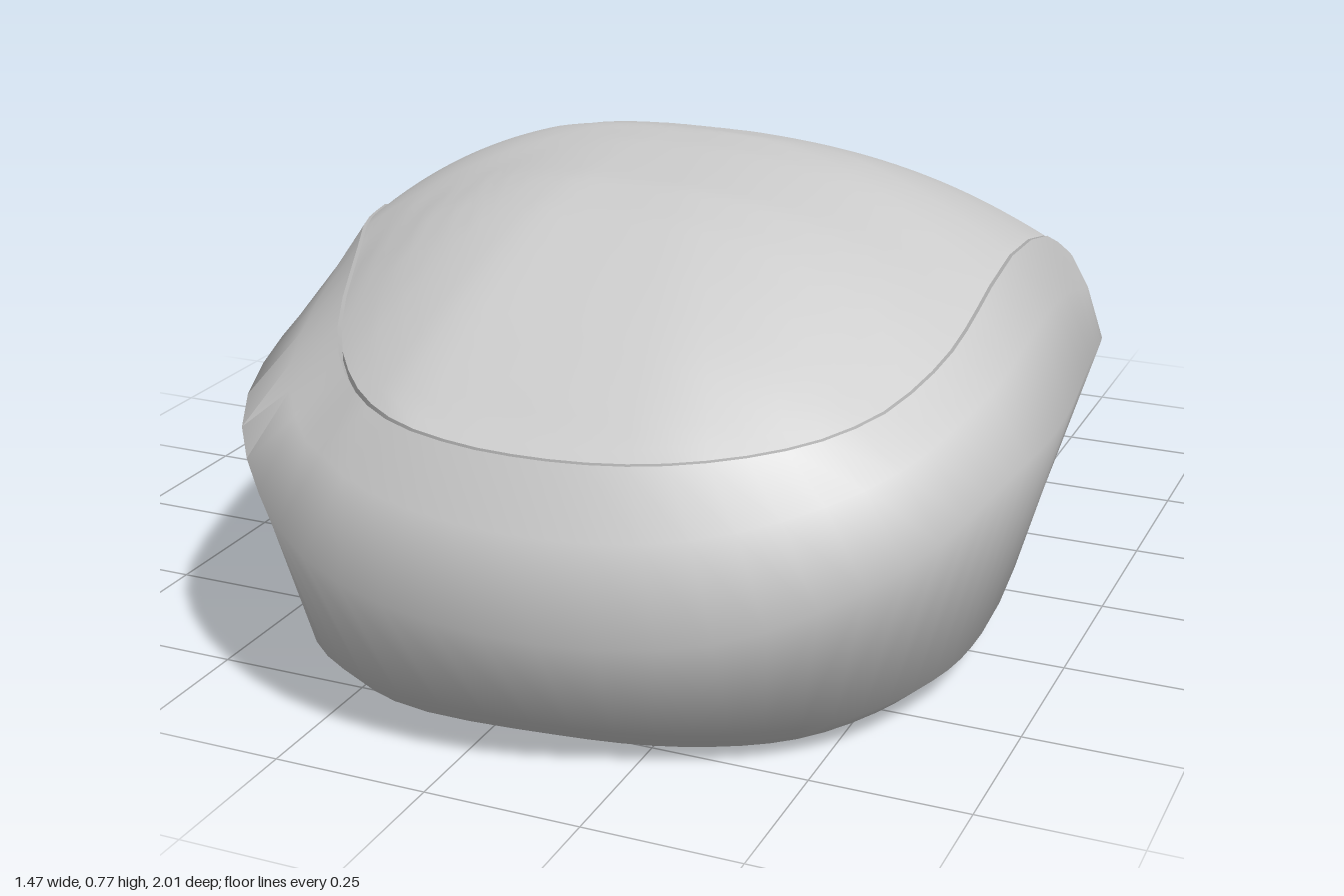
import * as THREE from 'three';
import { toCreasedNormals } from 'three/addons/utils/BufferGeometryUtils.js';

// Stations clockwise from the button slit at the back:
// widest line x, y, z | lid edge x, z | base edge x, z
const STATIONS = [
  [-.17, .2, -.985, -.165, -.965, -.15, -.85],
  [.12, .2, -1, .08, -.97, .1, -.86],
  [.3, .21, -.93, .24, -.92, .27, -.81],
  [.47, .24, -.8, .4, -.78, .41, -.71],
  [.58, .28, -.6, .51, -.6, .48, -.55],
  [.65, .35, -.25, .56, -.3, .52, -.25],
  [.73, .42, .3, .6, .25, .57, .3],
  [.725, .43, .52, .59, .5, .54, .47],
  [.64, .36, .74, .5, .72, .44, .64],
  [.42, .28, .92, .32, .85, .29, .73],
  [.1, .27, 1, .1, .89, .1, .77],
  [-.22, .31, .945, -.12, .85, -.18, .77],
  [-.43, .42, .77, -.28, .71, -.34, .66],
  [-.54, .48, .42, -.42, .41, -.45, .38],
  [-.62, .43, .12, -.52, .15, -.51, .08],
  [-.735, .3, -.36, -.66, -.34, -.57, -.35],
  [-.69, .27, -.57, -.61, -.6, -.52, -.55],
  [-.48, .23, -.84, -.45, -.83, -.4, -.72],
];
// Heights along z: lid edge on either side, and the lid's spine
const RIM_LEFT = [[-1, .29], [-.8, .345], [-.5, .455], [-.2, .58], [.05, .64], [.2, .635], [.4, .59], [.6, .54], [.9, .5]];
const RIM_RIGHT = [[-1, .29], [-.8, .34], [-.34, .455], [-.1, .525], [.15, .605], [.33, .63], [.55, .585], [.8, .52], [.9, .5]];
const SPINE = [[-.985, .29], [-.85, .39], [-.7, .48], [-.5, .58], [-.3, .66], [0, .768], [.1, .775], [.4, .755], [.6, .68], [.75, .605], [.9, .5]];
const COLS = 72;
const CX = 0, CZ = -.03; // inner end of the slit
const SLIT_TURN = .175;

// Piecewise-linear height lookup
function heightAt(table, z) {
  for (let i = 1; i < table.length; i++) {
    const [z0, y0] = table[i - 1], [z1, y1] = table[i];
    if (z <= z1) return y0 + (y1 - y0) * Math.max(0, (z - z0) / (z1 - z0));
  }
  return table[table.length - 1][1];
}
const spineAt = (z) => (heightAt(SPINE, z - .05) + heightAt(SPINE, z + .05)) / 2;

// Closed smooth loop through the stations, sampled into COLS + 1 points
function loop(pick) {
  const curve = new THREE.CatmullRomCurve3(STATIONS.map((s) => new THREE.Vector3(...pick(s))), true);
  return Array.from({ length: COLS + 1 }, (_, j) => curve.getPoint(j / COLS));
}

// Loop scaled about the slit's inner end and lowered
const inset = (points, k, down) => points.map((p) =>
  new THREE.Vector3(CX + (p.x - CX) * k, p.y - down, CZ + (p.z - CZ) * k));

// Skin over rows of points
function skin(rows, crease) {
  const pos = [], index = [], n = rows[0].length;
  rows.forEach((row) => row.forEach((p) => pos.push(p.x, p.y, p.z)));
  for (let i = 0; i < rows.length - 1; i++) {
    for (let j = 0; j < n - 1; j++) {
      const a = i * n + j, b = a + n;
      index.push(a, b, b + 1, a, b + 1, a + 1);
    }
  }
  const g = new THREE.BufferGeometry();
  g.setAttribute('position', new THREE.Float32BufferAttribute(pos, 3));
  g.setIndex(index);
  return toCreasedNormals(g, crease);
}

// Half-width of the slit, opening out around the wheel
function slitHalfWidth(s) {
  const k = (s - .715) / .185;
  const slot = Math.abs(k) < 1 ? .082 * Math.sqrt(1 - k ** 4) : 0;
  return Math.max(slot, .016 * Math.min(1, s / .45));
}

export function createModel() {
  const model = new THREE.Group();
  const mat = new THREE.MeshStandardMaterial({ color: 0xcccccc, side: THREE.DoubleSide });
  const add = (name, geo) => {
    const mesh = new THREE.Mesh(geo, mat);
    mesh.name = name;
    model.add(mesh);
    return mesh;
  };

  // Body: open shell from the base edge to the lid groove
  const base = loop((s) => [s[5], 0, s[6]]);
  const wide = loop((s) => [s[0], s[1], s[2]]);
  const rim = loop((s) => [s[3], 0, s[4]]);
  rim.forEach((p) => p.setY(heightAt(p.x < 0 ? RIM_RIGHT : RIM_LEFT, p.z)));
  const bevel = base.map((p, j) => p.clone().lerp(wide[j], .35).setY(.06));
  const lip = inset(rim, 1.01, 0);
  const shoulder = wide.map((p, j) => {
    const q = p.clone().lerp(lip[j], .5);
    q.y += p.x < -.3 ? 0 : .02;
    return q;
  });
  add('bodyShell', skin([base, bevel, wide, shoulder, lip, inset(rim, .985, .035)], 1.1));

  // Lid: rings shrinking to the slit's inner end, parted along the slit
  const side = new THREE.Vector3(Math.cos(SLIT_TURN), 0, -Math.sin(SLIT_TURN));
  const RINGS = 40, SPREAD = .12;
  const rows = [];
  for (let i = 0; i <= RINGS; i++) {
    const s = 1 - i / RINGS;
    rows.push(rim.map((p, j) => {
      const t = j / COLS;
      const z = CZ + (p.z - CZ) * s;
      const drop = spineAt(p.z) - p.y;
      const q = new THREE.Vector3(CX + (p.x - CX) * s, spineAt(z) - drop * s ** 2.6, z);
      const pull = Math.max(0, 1 - t / SPREAD) - Math.max(0, 1 - (1 - t) / SPREAD);
      return q.addScaledVector(side, pull * slitHalfWidth(s));
    }));
  }
  add('lid', skin([inset(rows[0], 1, .03), ...rows], .7));

  // Walls sloping in from both edges of the slit
  for (const [name, j, dir] of [['slitWallLeft', 0, -1], ['slitWallRight', COLS, 1]]) {
    const edge = rows.map((r) => r[j]);
    const foot = edge.map((p, i) => {
      const q = p.clone().addScaledVector(side, dir * .35 * slitHalfWidth(1 - i / RINGS));
      return q.setY(p.y - .06);
    });
    add(name, skin([edge, foot], .5));
  }

  // Bridge under the slit, at both ends of the wheel
  for (const [name, z, length] of [['bridgeInner', -.49, .14], ['bridgeOuter', -.9, .1]]) {
    const bridge = add(name, new THREE.BoxGeometry(.06, .02, length));
    bridge.position.set(CX + (z - CZ) * Math.tan(SLIT_TURN), spineAt(z) - .05, z);
    bridge.rotation.set(-.5, SLIT_TURN, 0, 'YXZ');
  }

  // Scroll wheel: rounded tread with shallow ribs
  const profile = [[0, -.062], [.12, -.062], [.15, -.055], [.168, -.035], [.174, 0], [.168, .035], [.15, .055], [.12, .062], [0, .062]]
    .map(([r, y]) => new THREE.Vector2(r, y));
  const tread = new THREE.LatheGeometry(profile, 96);
  const p = tread.attributes.position;
  for (let i = 0; i < p.count; i++) {
    const x = p.getX(i), z = p.getZ(i);
    const k = 1 + .018 * Math.cos(24 * Math.atan2(z, x));
    p.setXYZ(i, x * k, p.getY(i), z * k);
  }
  tread.computeVertexNormals();
  tread.rotateZ(Math.PI / 2);
  const wheel = add('scrollWheel', tread);
  wheel.position.set(-.115, .387, -.67);
  wheel.rotation.y = SLIT_TURN;

  return model;
}
